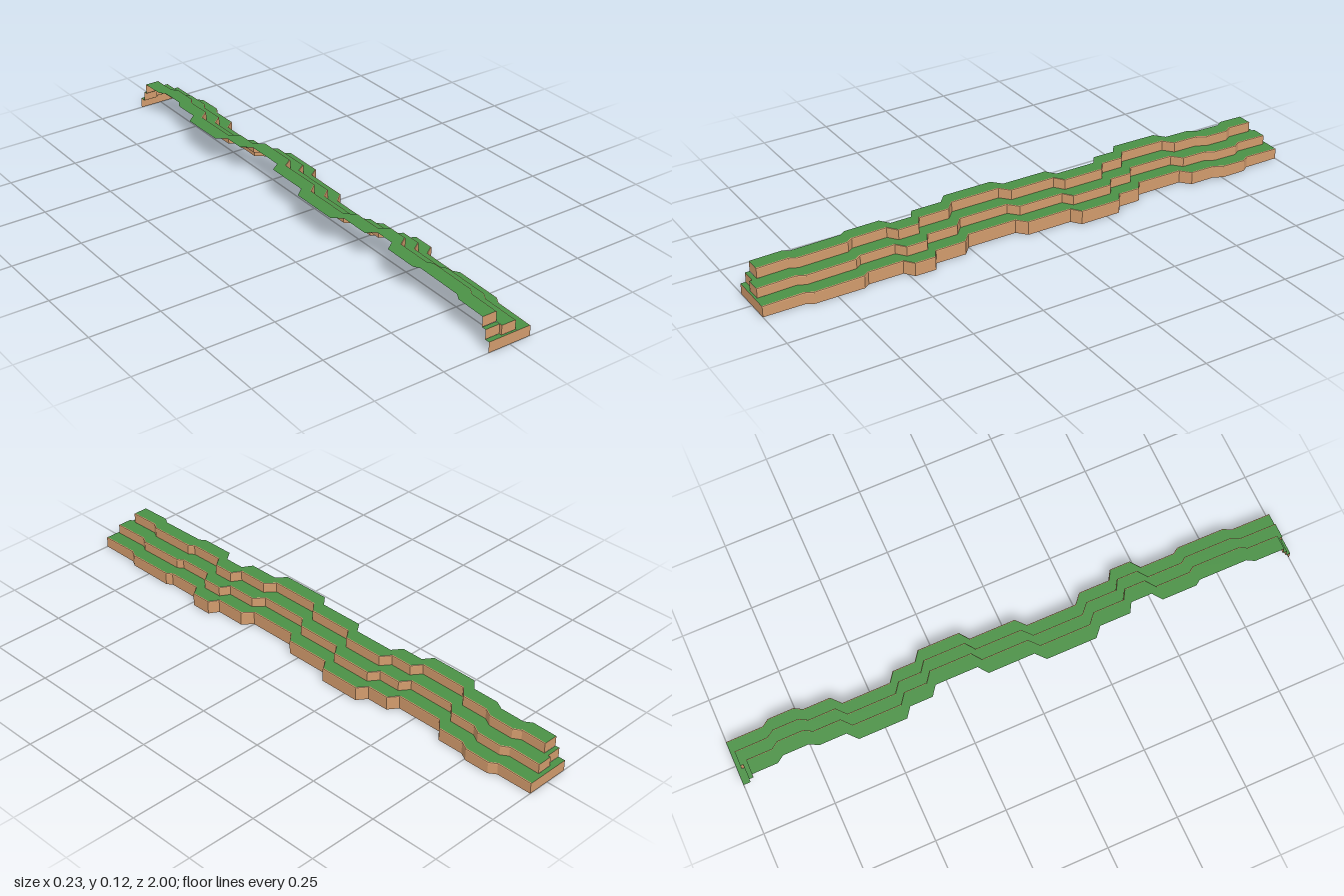
import * as THREE from 'three';

const grass = new THREE.MeshStandardMaterial({ color: 0x4b9146, side: THREE.DoubleSide });
grass.name = 'grass green';
const earth = new THREE.MeshStandardMaterial({ color: 0xd39c6d, side: THREE.DoubleSide });
earth.name = 'earth tan';

// zigzag of the terraces: [z, sideways offset]
const zigzag = [
  [-0.87, 0], [-0.845, 0.017], [-0.755, 0.017], [-0.725, 0], [-0.63, 0], [-0.6, -0.034],
  [-0.43, -0.034], [-0.405, 0], [-0.325, 0], [-0.3, 0.034], [-0.15, 0.034], [-0.125, 0],
  [0.04, 0], [0.07, -0.034], [0.25, -0.034], [0.28, 0], [0.39, 0], [0.41, 0.034],
  [0.485, 0.034], [0.51, 0], [0.635, 0], [0.655, 0.014], [0.83, 0.014], [0.855, 0],
];
const LIP = 0.004;
const BACK = -0.082;
const tiers = [
  { name: 'lower', edge: 0.079, inner: 0.026, base: 0, top: 0.038, z0: -1, z1: 1 },
  { name: 'middle', edge: 0.026, inner: -0.028, base: 0.038, top: 0.072, z0: -0.985, z1: 0.992 },
  { name: 'upper', edge: -0.028, inner: BACK, base: 0.072, top: 0.108, z0: -0.96, z1: 0.966 },
];

// gentle rise of the ground toward the middle
const rise = (z) => 0.011 * (1 - Math.pow(Math.abs(z), 2.5));

// flat-faced strip through equal rows of points
function ribbon(rows) {
  const pos = [];
  for (let i = 0; i < rows.length - 1; i++) {
    for (let j = 0; j < rows[i].length - 1; j++) {
      const a = rows[i][j], b = rows[i + 1][j], c = rows[i + 1][j + 1], d = rows[i][j + 1];
      pos.push(...a, ...d, ...c, ...a, ...c, ...b);
    }
  }
  const g = new THREE.BufferGeometry();
  g.setAttribute('position', new THREE.Float32BufferAttribute(pos, 3));
  g.computeVertexNormals();
  return g;
}

function add(group, name, geometry, material) {
  const mesh = new THREE.Mesh(geometry, material);
  mesh.name = name;
  group.add(mesh);
  return mesh;
}

// upright end wall
function endWall(group, name, x0, x1, y0, y1, z) {
  const m = add(group, name, new THREE.PlaneGeometry(x1 - x0, y1 - y0), earth);
  m.position.set((x0 + x1) / 2, (y0 + y1) / 2, z);
  if (z < 0) m.rotation.y = Math.PI;
}

// small level ledge in front of an end wall
function ledge(group, name, x0, x1, y, za, zb) {
  const m = add(group, name, new THREE.PlaneGeometry(x1 - x0, Math.abs(zb - za)), grass);
  m.rotation.x = -Math.PI / 2;
  m.position.set((x0 + x1) / 2, y, (za + zb) / 2);
}

export function createModel() {
  const model = new THREE.Group();
  model.name = 'terracedBank';

  tiers.forEach((t, k) => {
    const group = new THREE.Group();
    group.name = t.name + 'Terrace';
    model.add(group);
    const stations = [[t.z0, 0], ...zigzag, [t.z1, 0]];

    // cliff face with a narrow rounded lip
    add(group, t.name + 'Cliff', ribbon(stations.map(([z, o]) => {
      const x = t.edge + o, y = t.top + rise(z);
      const base = k === 0 ? 0 : t.base + rise(z);
      return [[x, base, z], [x, y - LIP, z], [x - 0.0012, y - 0.0012, z], [x - LIP, y, z]];
    })), earth);

    // grass strip
    add(group, t.name + 'Grass', ribbon(stations.map(([z, o]) => {
      const y = t.top + rise(z);
      return [[t.edge + o - LIP, y, z], [t.inner + o, y, z]];
    })), grass);

    // stepped ends
    for (const z of [t.z0, t.z1]) {
      const s = Math.sign(z);
      const base = k === 0 ? 0 : t.base + rise(z);
      const top = t.top + rise(z);
      if (k === 1) {
        const zb = z - s * 0.01;
        endWall(group, 'middleEndWall', t.inner, t.edge, base, top, z);
        endWall(group, 'middleSetBackWall', BACK, t.inner, base, top, zb);
        const side = add(group, 'middleReturnWall', new THREE.PlaneGeometry(0.01, top - base), earth);
        side.rotation.y = -Math.PI / 2;
        side.position.set(t.inner, (base + top) / 2, (z + zb) / 2);
        ledge(group, 'middleLedge', BACK, t.inner, top, zb, tiers[2][s < 0 ? 'z0' : 'z1']);
      } else {
        endWall(group, t.name + 'EndWall', BACK, t.edge, base, top, z);
        if (k === 0) {
          const zm = tiers[1][s < 0 ? 'z0' : 'z1'];
          ledge(group, 'lowerLedge', t.inner, t.inner - 0, top, z, zm);
          ledge(group, 'lowerLedge', tiers[1].inner, t.inner, top, z, zm);
          ledge(group, 'lowerLedge', BACK, tiers[1].inner, top, z, zm - s * 0.01);
        }
      }
    }
  });
  return model;
}
